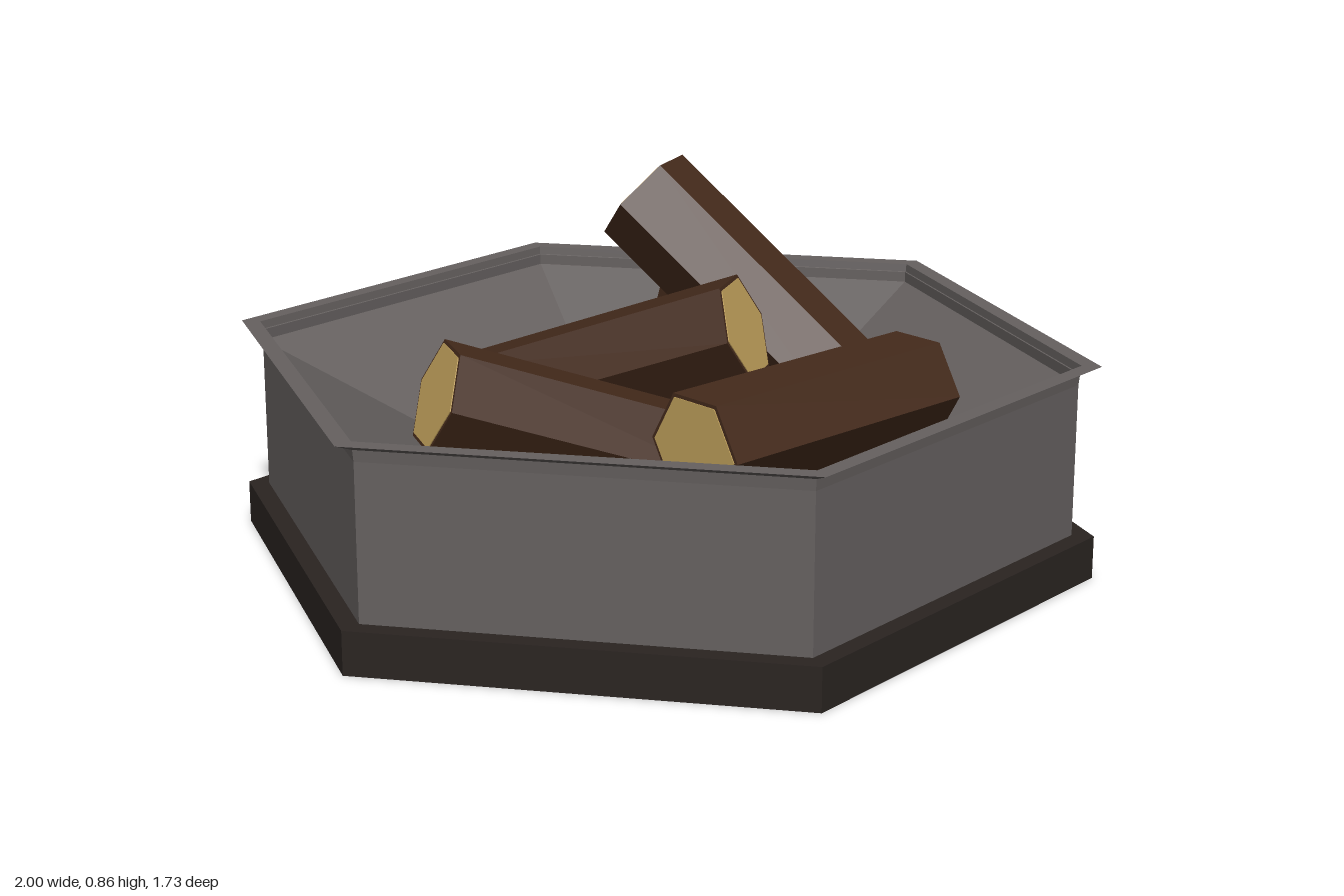
import * as THREE from 'three';

const LOG_R = 0.13;

const mat = (color) => new THREE.MeshStandardMaterial({ color, flatShading: true, side: THREE.DoubleSide });
const stone = mat(0x666160);
const dark = mat(0x2a2421);
const bark = mat(0x442a1b);
const cutWood = mat(0xc2a25c);

// Six-sided shell turned from a [radius, height] profile, corners on the x axis
function hexShell(name, profile, material) {
  const points = profile.map(([r, y]) => new THREE.Vector2(r, y));
  const mesh = new THREE.Mesh(new THREE.LatheGeometry(points, 6, Math.PI / 6), material);
  mesh.name = name;
  return mesh;
}

// Hexagonal log between the centres of its two ends, with pale cut faces inside a bark edge
function makeLog(from, to) {
  const a = new THREE.Vector3(...from);
  const b = new THREE.Vector3(...to);
  const length = a.distanceTo(b);
  const log = new THREE.Group();
  log.name = 'log';

  const prism = (r, h) => new THREE.CylinderGeometry(r, r, h, 6).rotateY(Math.PI / 6).rotateX(Math.PI / 2);
  const body = new THREE.Mesh(prism(LOG_R, length), bark);
  body.name = 'bark';
  log.add(body);

  for (const side of [-1, 1]) {
    const face = new THREE.Mesh(prism(LOG_R * 0.93, 0.004), cutWood);
    face.name = 'cutEnd';
    face.position.z = side * length / 2;
    log.add(face);
  }
  log.position.copy(a).add(b).multiplyScalar(0.5);
  log.lookAt(b);
  return log;
}

export function createModel() {
  const model = new THREE.Group();
  model.name = 'firePit';

  // Dark plinth with a floor plate, hollow underneath
  model.add(hexShell('base', [[1, 0], [1, 0.1], [0.95, 0.1], [0, 0.1]], dark));
  model.add(hexShell('baseLining', [[0.95, 0.099], [0.95, 0], [1, 0]], stone));

  // Outer wall, flared rim and the conical bowl
  model.add(hexShell('wall', [[0.95, 0.1], [0.95, 0.48]], stone));
  model.add(hexShell('rim', [[0.95, 0.48], [1, 0.5], [0.955, 0.5], [0.95, 0.455]], stone));
  model.add(hexShell('bowl', [[0.95, 0.455], [0, 0]], stone));

  // Stacked firewood
  const logs = new THREE.Group();
  logs.name = 'firewood';
  const ends = [
    [[0.02, 0.53, -0.673], [0.02, 0.2, -0.055]],
    [[-0.1, 0.775, -0.315], [0.435, 0.315, -0.19]],
    [[0.205, 0.56, 0.05], [-0.445, 0.315, -0.04]],
    [[-0.4, 0.49, 0.46], [0.17, 0.25, 0.13]],
    [[0.175, 0.42, 0.515], [0.585, 0.42, -0.05]],
  ];
  for (const [from, to] of ends) logs.add(makeLog(from, to));
  model.add(logs);

  return model;
}
